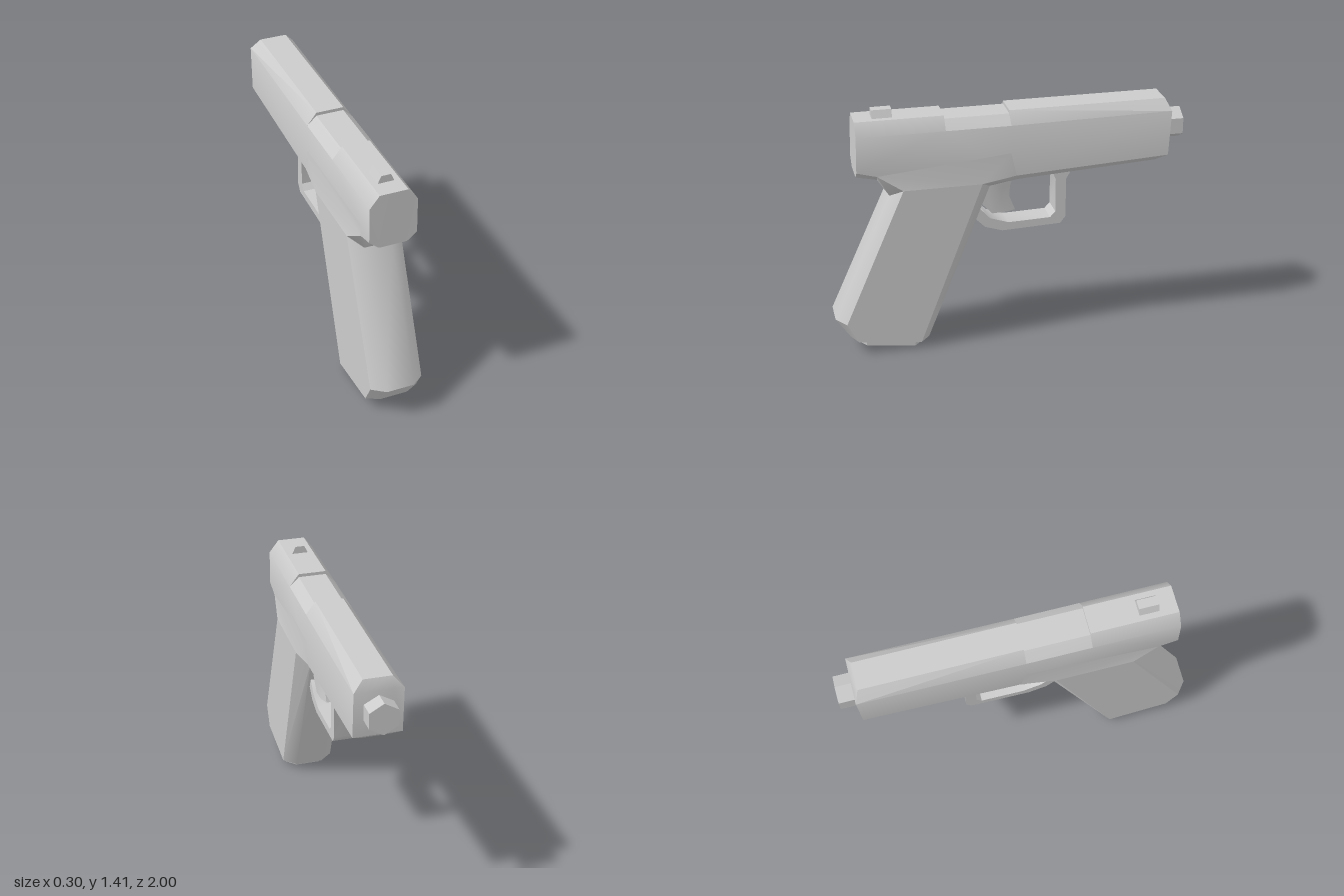
import * as THREE from 'three';
import { toCreasedNormals } from 'three/addons/utils/BufferGeometryUtils.js';

const material = new THREE.MeshStandardMaterial({ color: 0xcccccc });
const flatMaterial = new THREE.MeshStandardMaterial({ color: 0xcccccc, flatShading: true });

function part(name, geometry, mat = material) {
  const mesh = new THREE.Mesh(geometry, mat);
  mesh.name = name;
  return mesh;
}

// Solid mirrored about x = 0, with a bevel between its side faces and its rim.
// Each row is [rim z, rim y, side z, side y, side half-width, rim half-width].
function bevelledPlate(name, rows, sideWidth, rimWidth) {
  let pts = rows.map(([oz, oy, iz = oz, iy = oy, iw = sideWidth, ow = rimWidth]) => ({
    rim: new THREE.Vector3(ow, oy, oz),
    side: new THREE.Vector3(iw, iy, iz),
  }));
  const flatten = () => pts.map((p) => new THREE.Vector2(-p.side.z, p.side.y));
  if (THREE.ShapeUtils.area(flatten()) < 0) pts = pts.reverse();

  const positions = [];
  const mirror = (v) => new THREE.Vector3(-v.x, v.y, v.z);
  const tri = (a, b, c) => {
    const area = b.clone().sub(a).cross(c.clone().sub(a)).length();
    if (area > 1e-7) for (const v of [a, b, c]) positions.push(v.x, v.y, v.z);
  };
  const bothSides = (a, b, c) => {
    tri(a, b, c);
    tri(mirror(a), mirror(c), mirror(b));
  };

  // side faces
  for (const [a, b, c] of THREE.ShapeUtils.triangulateShape(flatten(), [])) {
    bothSides(pts[a].side, pts[b].side, pts[c].side);
  }
  // bevels and rim
  pts.forEach((p, i) => {
    const q = pts[(i + 1) % pts.length];
    bothSides(p.side, p.rim, q.rim);
    bothSides(p.side, q.rim, q.side);
    tri(p.rim, mirror(p.rim), mirror(q.rim));
    tri(p.rim, mirror(q.rim), q.rim);
  });

  const geometry = new THREE.BufferGeometry();
  geometry.setAttribute('position', new THREE.Float32BufferAttribute(positions, 3));
  return part(name, toCreasedNormals(geometry, 0.68));
}

export function createModel() {
  const model = new THREE.Group();
  model.name = 'pistol';

  // slide and frame, with the shallow port let into the top
  model.add(bevelledPlate('slide', [
    [0.845, 1.37, 0.845, 1.3],
    [0.85, 1.055, 0.85, 1.1],
    [0.735, 1.03, 0.74, 1.07],
    [-0.045, 0.96, -0.03, 1.005],
    [-0.84, 1.005, -0.9, 1.05],
    [-0.9, 1.05, -0.9, 1.05],
    [-0.912, 1.31, -0.912, 1.31],
    [-0.885, 1.37, -0.912, 1.31],
    [0, 1.37, 0, 1.3],
    [0, 1.352, 0, 1.3],
    [0.36, 1.352, 0.36, 1.3],
    [0.36, 1.37, 0.36, 1.3],
  ], 0.132, 0.078));

  // part of the frame that swells from the slide to the wider grip
  model.add(bevelledPlate('frame', [
    [0.735, 1.03, 0.74, 1.07, 0.132],
    [0.67, 0.93, 0.602, 0.98],
    [0.11, 0.935, 0.165, 0.98],
    [-0.045, 0.96, -0.03, 1.005, 0.132],
    [0, 1.14, 0, 1.14, 0.132],
    [0.74, 1.14, 0.74, 1.14, 0.132],
  ], 0.15, 0.078));

  model.add(bevelledPlate('grip', [
    [0.67, 0.93, 0.602, 0.98],
    [1.0, 0.2, 0.943, 0.195],
    [0.92, 0.082, 0.88, 0.077],
    [0.47, 0.03, 0.525, 0.037],
    [0.11, 0.935, 0.165, 0.98],
  ], 0.15, 0.078));

  model.add(bevelledPlate('magazineBase', [
    [0.89, 0.09, 0.84, 0.09],
    [0.885, 0.047, 0.835, 0.041],
    [0.51, 0, 0.56, 0.006],
    [0.505, 0.05, 0.555, 0.05],
  ], 0.13, 0.07));

  model.add(bevelledPlate('triggerGuard', [
    [0.22, 0.72], [0.19, 0.735], [0.135, 0.68], [0.035, 0.648], [-0.3, 0.66],
    [-0.33, 0.7], [-0.33, 0.93], [-0.37, 1.0], [-0.245, 1.0], [-0.27, 0.93],
    [-0.27, 0.735], [-0.24, 0.702], [0, 0.695], [0.105, 0.73], [0.16, 0.79],
    [0.22, 0.8],
  ], 0.065, 0.065));

  // trigger, narrowed along its curved front
  model.add(bevelledPlate('trigger', [
    [-0.04, 0.98, 0.02, 0.98],
    [-0.015, 0.9, 0.035, 0.9],
    [-0.012, 0.84, 0.04, 0.84],
    [-0.045, 0.755, 0.01, 0.755],
    [0.09, 0.752],
    [0.155, 0.82],
    [0.15, 0.98],
  ], 0.05, 0.03));

  // six-sided muzzle
  const muzzle = part('muzzle', new THREE.CylinderGeometry(0.09, 0.09, 0.16, 6), flatMaterial);
  muzzle.rotation.x = Math.PI / 2;
  muzzle.position.set(0, 1.195, -0.92);
  model.add(muzzle);

  // rear sight
  const sightShape = new THREE.Shape([
    [-0.048, 1.365], [0.048, 1.365], [0.026, 1.412], [-0.026, 1.412],
  ].map(([x, y]) => new THREE.Vector2(x, y)));
  const sight = part('rearSight',
    new THREE.ExtrudeGeometry(sightShape, { depth: 0.11, bevelEnabled: false }), flatMaterial);
  sight.position.z = 0.635;
  model.add(sight);

  return model;
}
